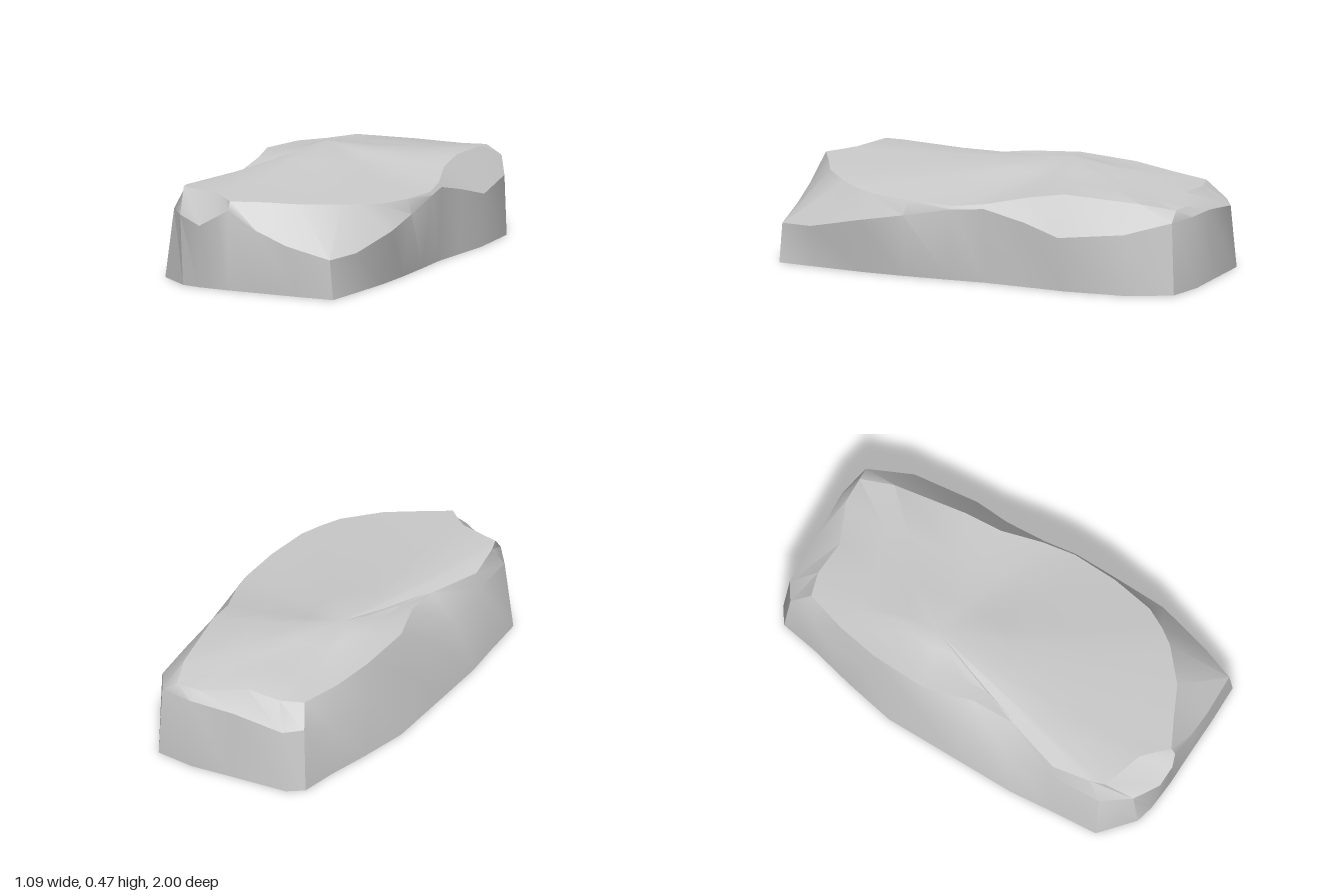
import * as THREE from 'three';
import { toCreasedNormals } from 'three/addons/utils/BufferGeometryUtils.js';

// Each ring runs from the front +x corner along the front, the -x side, the back and the +x side.
// Ground outline: x, z
const base = [
  [.48, .93], [.3, .945], [.1, .955], [-.05, .965], [-.13, .965], [-.2, .965], [-.29, .95],
  [-.45, .83], [-.48, .6], [-.51, .4], [-.525, .12], [-.545, -.25], [-.51, -.5], [-.47, -.72],
  [-.45, -.9], [-.38, -.955], [-.1, -.98], [.1, -1], [.29, -.98], [.4, -.8], [.44, -.5],
  [.44, -.3], [.44, -.1], [.46, .08], [.48, .3], [.49, .5], [.485, .75],
].map(([x, z]) => [x, 0, z]);

// Shoulder where the walls break into worn bevels: x, y, z
const shoulder = [
  [.46, .18, .925], [.25, .23, .955], [.1, .29, .97], [-.04, .37, .98], [-.09, .34, 1], [-.18, .29, .995],
  [-.31, .32, .94], [-.41, .32, .82], [-.44, .33, .57], [-.46, .28, .32], [-.475, .3, .1],
  [-.5, .25, -.13], [-.49, .25, -.42], [-.46, .24, -.7], [-.43, .3, -.88], [-.35, .29, -.94],
  [-.1, .32, -.96], [.12, .33, -.985], [.28, .33, -.965], [.4, .28, -.78], [.465, .25, -.48],
  [.45, .3, -.3], [.46, .345, -.1], [.495, .335, .05], [.52, .29, .28], [.54, .25, .5], [.505, .19, .76],
];

// Edge of the top face: x, y, z
const rim = [
  [.37, .385, .66], [.23, .395, .8], [.09, .405, .88], [-.04, .41, .96], [-.1, .415, .91], [-.16, .42, .865],
  [-.36, .425, .82], [-.385, .42, .75], [-.42, .4, .57], [-.355, .41, .3], [-.38, .435, .1],
  [-.46, .435, -.12], [-.46, .42, -.4], [-.43, .4, -.6], [-.38, .39, -.8], [-.27, .385, -.84],
  [-.1, .39, -.84], [.09, .37, -.94], [.21, .375, -.95], [.27, .4, -.8], [.34, .425, -.45],
  [.37, .4, -.28], [.445, .365, -.1], [.485, .35, .05], [.49, .355, .27], [.465, .365, .48], [.42, .375, .58],
];

const peak = [-.21, .474, -.22];

// Ring on the top face, part of the way from rim to peak, sagging slightly
function topRing(t, sag) {
  return rim.map(p => p.map((v, k) => v + (peak[k] - v) * t - (k === 1 ? sag : 0)));
}

function stoneGeometry() {
  const rings = [base, shoulder, rim, topRing(.35, .012), topRing(.7, .012)];
  const n = base.length;
  const index = [];
  for (let r = 0; r < rings.length; r++) {
    for (let j = 0; j < n; j++) {
      const k = (j + 1) % n;
      const a = r * n + j, b = r * n + k;
      if (r === rings.length - 1) index.push(a, rings.length * n, b);
      else index.push(a, a + n, b + n, a, b + n, b);
    }
  }
  const geometry = new THREE.BufferGeometry();
  geometry.setAttribute('position', new THREE.Float32BufferAttribute([...rings.flat(2), ...peak], 3));
  geometry.setIndex(index);
  return toCreasedNormals(geometry, 0.6);
}

export function createModel() {
  const group = new THREE.Group();
  group.name = 'rock';
  // Hollow stone shell, open underneath
  const stone = new THREE.Mesh(
    stoneGeometry(),
    new THREE.MeshStandardMaterial({ color: 0xcccccc, side: THREE.DoubleSide }),
  );
  stone.name = 'stoneShell';
  group.add(stone);
  return group;
}
